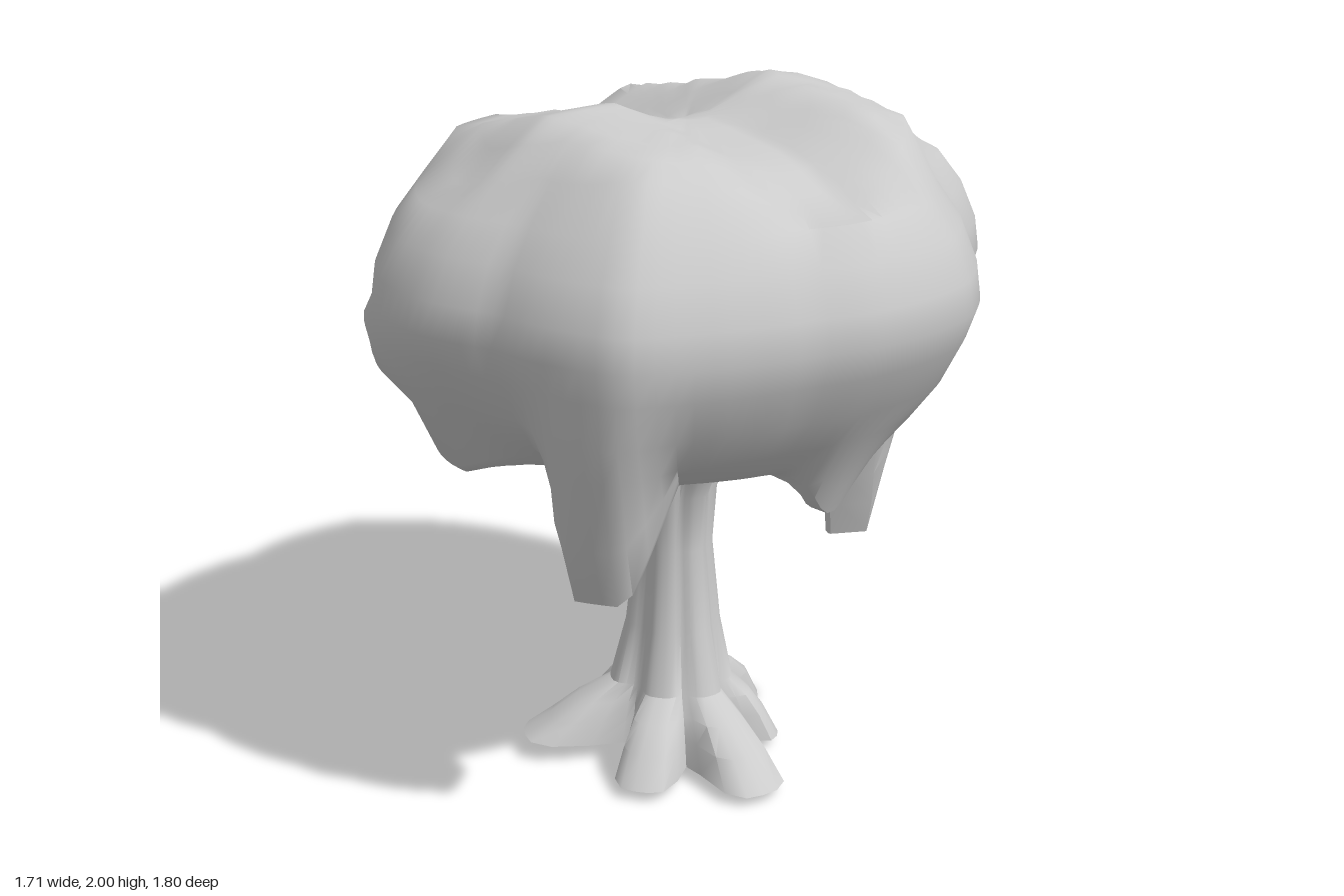
import * as THREE from 'three';
import { toCreasedNormals } from 'three/addons/utils/BufferGeometryUtils.js';

const material = new THREE.MeshStandardMaterial({ color: 0xcccccc });
const TAU = Math.PI * 2;

// Piecewise-linear lookup in a short table of [key, value] pairs
function lookup(table, k) {
  if (k <= table[0][0]) return table[0][1];
  for (let i = 1; i < table.length; i++) {
    const [k0, v0] = table[i - 1], [k1, v1] = table[i];
    if (k <= k1) return v0 + (v1 - v0) * (k - k0) / (k1 - k0);
  }
  return table[table.length - 1][1];
}

const mix = THREE.MathUtils.lerp;
const angleOf = (x, z) => (Math.atan2(z, x) + TAU) % TAU;

function angleGap(a, b) {
  const d = Math.abs(a - b) % TAU;
  return Math.min(d, TAU - d);
}

const ring = (n, fn) => Array.from({ length: n }, (_, i) => fn(i / n * TAU));

// Closed skin over equal rings, listed from the underside outward and up
function loft(name, rings, crease) {
  const n = rings[0].length, index = [];
  for (let j = 0; j < rings.length - 1; j++) {
    for (let i = 0; i < n; i++) {
      const a = j * n + i, b = j * n + (i + 1) % n;
      index.push(a, a + n, b, b, a + n, b + n);
    }
  }
  const g = new THREE.BufferGeometry();
  g.setAttribute('position', new THREE.Float32BufferAttribute(rings.flat(2), 3));
  g.setIndex(index);
  const mesh = new THREE.Mesh(toCreasedNormals(g, crease), material);
  mesh.name = name;
  return mesh;
}

// Crown outline seen from above, turned into radius by angle
const outline = [
  [0.85, 0.03], [0.81, 0.2], [0.77, 0.38], [0.72, 0.52], [0.64, 0.69], [0.27, 0.81], [0.06, 0.89], [-0.16, 0.89],
  [-0.43, 0.74], [-0.6, 0.58], [-0.75, 0.24], [-0.77, 0.03], [-0.85, -0.45], [-0.73, -0.61],
  [-0.4, -0.83], [-0.17, -0.9], [0.06, -0.87], [0.25, -0.9], [0.44, -0.65], [0.68, -0.48], [0.79, -0.34],
];
const polar = outline.map(([x, z]) => [angleOf(x, z), Math.hypot(x, z)]);
polar.unshift([0, 0.85]);
polar.push([TAU, 0.85]);

// Height of the crown's top: two humps with a valley, falling to both sides
const ridge = [[-0.75, 1.76], [-0.45, 1.96], [-0.27, 2], [-0.05, 1.9], [0.1, 1.9], [0.27, 1.97], [0.5, 1.96], [0.66, 1.81]];
const sideDrop = [[-0.64, 0.14], [-0.4, 0.1], [0.04, 0], [0.42, 0.06], [0.6, 0.15]];
// Height of the lower rim, and fullness of the lower crown, by angle
const rim = [[0, 1.05], [1.2, 1.1], [1.5, 1.04], [1.8, 0.96], [2.3, 0.94], [3.8, 0.95], [4.4, 1.0], [TAU, 1.05]];
const fullness = [[0, 0.96], [0.95, 1], [1.5, 0.96], [1.85, 1.04], [2.15, 1.12], [2.7, 1.06], [3.2, 1.04], [3.9, 1],
  [4.7, 0.95], [5.4, 0.98], [TAU, 0.96]];

// Drooping tufts drawn down from the rim: centre, half angle at tip and at root, radii, tip height, bulge above
const tufts = [
  { a: 3.44, tip: 0.16, root: 0.36, inner: 0.4, outer: 0.6, mid: 0.63, y: 0.5, bulge: 0 },
  { a: 0.955, tip: 0.1, root: 0.27, inner: 0.63, outer: 0.75, mid: 0.82, y: 0.76, bulge: 0.1 },
  { a: 5.115, tip: 0.065, root: 0.27, inner: 0.44, outer: 0.55, mid: 0.6, y: 0.62, bulge: 0 },
  { a: 6.15, tip: 0.05, root: 0.26, inner: 0.5, outer: 0.56, mid: 0.6, y: 0.89, bulge: 0 },
];

function crown() {
  const n = 120;
  const at = (s, height) => ring(n, (a) => {
    const r = s * lookup(polar, a), x = Math.cos(a) * r, z = Math.sin(a) * r;
    return [x, height(x, z), z];
  });
  // Ring in the lower skin: share of the outline and height, pulled toward a tuft where there is one
  const drooping = (s, height, full, pull) => ring(n, (a) => {
    let r = s * lookup(polar, a) * mix(1, lookup(fullness, a), full), y = height(a);
    for (const t of tufts) {
      const k = THREE.MathUtils.clamp((t.root - angleGap(a, t.a)) / (t.root - t.tip), 0, 1);
      if (k > 0) [r, y] = pull(r, y, k, t);
    }
    return [Math.cos(a) * r, y, Math.sin(a) * r];
  });
  const rimY = (a) => lookup(rim, a);
  const toTip = (edge, drop) => (r, y, k, t) => [mix(r, t[edge], k), mix(y, t.y, k * drop)];
  const bulging = (amount) => (r, y, k, t) => [r + t.bulge * amount * k, y];

  const rings = [
    at(0, () => 1.0),
    at(0.3, () => 0.99),
    drooping(0.5, () => 0.99, 0, (r, y, k, t) => [mix(r, t.inner - 0.02, k), y]),
    drooping(0.66, (a) => mix(0.99, rimY(a), 0.6), 1, toTip('inner', 1)),
    drooping(0.72, rimY, 1, toTip('outer', 1)),
    drooping(0.75, (a) => rimY(a) + 0.02, 1, toTip('mid', 0.5)),
    drooping(0.83, () => 1.14, 1, bulging(1)),
    drooping(0.92, () => 1.24, 1, bulging(0.5)),
    drooping(0.98, () => 1.36, 0.6, bulging(0)),
  ];
  // Bulging sides
  for (const [s, y] of [[1, 1.45], [0.985, 1.54], [0.93, 1.65], [0.85, 1.74]]) {
    rings.push(at(s, () => y));
  }
  // Humped top
  for (const s of [0.74, 0.64, 0.54, 0.42, 0.3, 0.18, 0.08, 0]) {
    rings.push(at(s, (x, z) => Math.max(1.73, lookup(ridge, z) - lookup(sideDrop, x))));
  }
  return loft('crown', rings, 0.8);
}

// Roots: [tip x, tip z, angular half width, tip height]
const roots = [
  [0.48, 0.04, 0.35, 0.03], [0.25, 0.32, 0.36, 0.03], [-0.2, 0.41, 0.36, 0.06],
  [-0.33, 0.07, 0.32, 0.03], [-0.14, -0.38, 0.36, 0.0], [0.22, -0.22, 0.3, 0.03],
];
// Trunk rows: [y, radius, share of the root reach], from the hollow base up to the flared top
const trunkRows = [
  [0.15, 0.06, 0], [0.12, 0.1, 0.25], [0.04, 0.17, 1], [0.11, 0.165, 0.74], [0.17, 0.16, 0.46],
  [0.22, 0.148, 0.16], [0.4, 0.125, 0.07], [0.65, 0.105, 0.04], [0.82, 0.115, 0.06], [0.93, 0.135, 0.18],
  [1.0, 0.15, 0.25],
];

function trunk() {
  const row = ([y, radius, reach]) => ring(60, (a) => {
    let r = radius, dy = 0;
    for (const [tx, tz, width, tipY] of roots) {
      const k = Math.exp(-Math.pow(angleGap(a, angleOf(tx, tz)) / width, 4));
      r += k * reach * (Math.hypot(tx, tz) - 0.17);
      if (reach === 1) dy += k * (tipY - y);
    }
    return [-0.015 + Math.cos(a) * r, y + dy, 0.025 + Math.sin(a) * r];
  });
  const centre = (y) => ring(60, () => [-0.015, y, 0.025]);
  return loft('trunkWithRoots', [centre(0.16), ...trunkRows.map(row), centre(1.0)], 0.7);
}

export function createModel() {
  const tree = new THREE.Group();
  tree.name = 'tree';
  tree.add(trunk(), crown());
  return tree;
}
